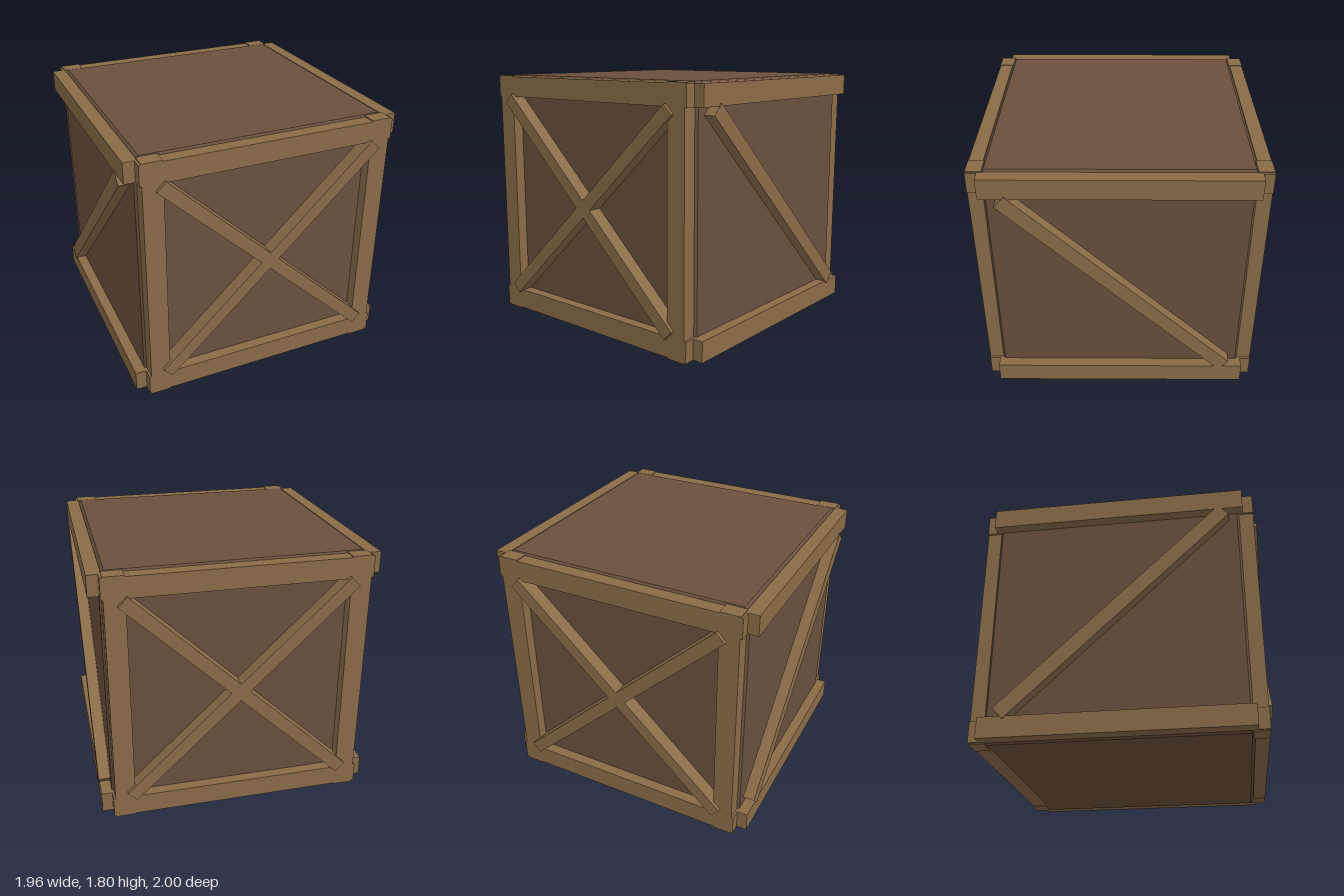
import * as THREE from 'three';
import { ConvexGeometry } from 'three/addons/geometries/ConvexGeometry.js';

const panelWood = new THREE.MeshStandardMaterial({ color: 0x6a503c });
panelWood.name = 'dark panel wood';
const frameWood = new THREE.MeshStandardMaterial({ color: 0x8a6c48 });
frameWood.name = 'light frame wood';

const MID = 0.9; // height of the crate centre

function board(name, size, position) {
  const mesh = new THREE.Mesh(new THREE.BoxGeometry(...size), frameWood);
  mesh.name = name;
  mesh.position.set(...position);
  return mesh;
}

// Cube with chamfered edges, as the hull of its 24 corner points
function chamferedCube(half, chamfer) {
  const inner = half - chamfer;
  const points = [];
  for (const x of [-1, 1]) for (const y of [-1, 1]) for (const z of [-1, 1]) {
    points.push(
      new THREE.Vector3(x * half, y * inner, z * inner),
      new THREE.Vector3(x * inner, y * half, z * inner),
      new THREE.Vector3(x * inner, y * inner, z * half)
    );
  }
  return new ConvexGeometry(points);
}

// Front and back: two posts, two rails and a cross brace
function crossedSide(name) {
  const side = new THREE.Group();
  side.name = name;
  for (const s of [-1, 1]) {
    side.add(board('post', [0.14, 1.795, 0.105], [s * 0.815, MID, 0.9225]));
    side.add(board('rail', [1.8, 0.146, 0.095], [0, MID + s * 0.817, 0.9275]));
    const brace = board('crossBrace', [2.12, 0.09, 0.12], [0, MID, 0.94]);
    brace.rotation.z = s * Math.atan2(0.73, 0.768);
    side.add(brace);
  }
  return side;
}

// Left and right: two rails and a single diagonal, high at the front
function singleBraceSide(name, s) {
  const side = new THREE.Group();
  side.name = name;
  for (const t of [-1, 1]) {
    side.add(board('rail', [0.095, 0.146, 1.8], [s * 0.9275, MID + t * 0.817, 0]));
  }
  const brace = board('diagonalBrace', [0.1, 0.105, 2.11], [s * 0.932, MID, 0]);
  brace.rotation.x = -Math.atan2(0.727, 0.765);
  side.add(brace);
  return side;
}

export function createModel() {
  const crate = new THREE.Group();
  crate.name = 'crate';

  const body = new THREE.Mesh(chamferedCube(0.9, 0.04), panelWood);
  body.name = 'body';
  body.position.y = MID;
  crate.add(body);

  const back = crossedSide('backFrame');
  back.rotation.y = Math.PI;
  crate.add(crossedSide('frontFrame'), back);
  crate.add(singleBraceSide('leftFrame', 1), singleBraceSide('rightFrame', -1));
  return crate;
}
